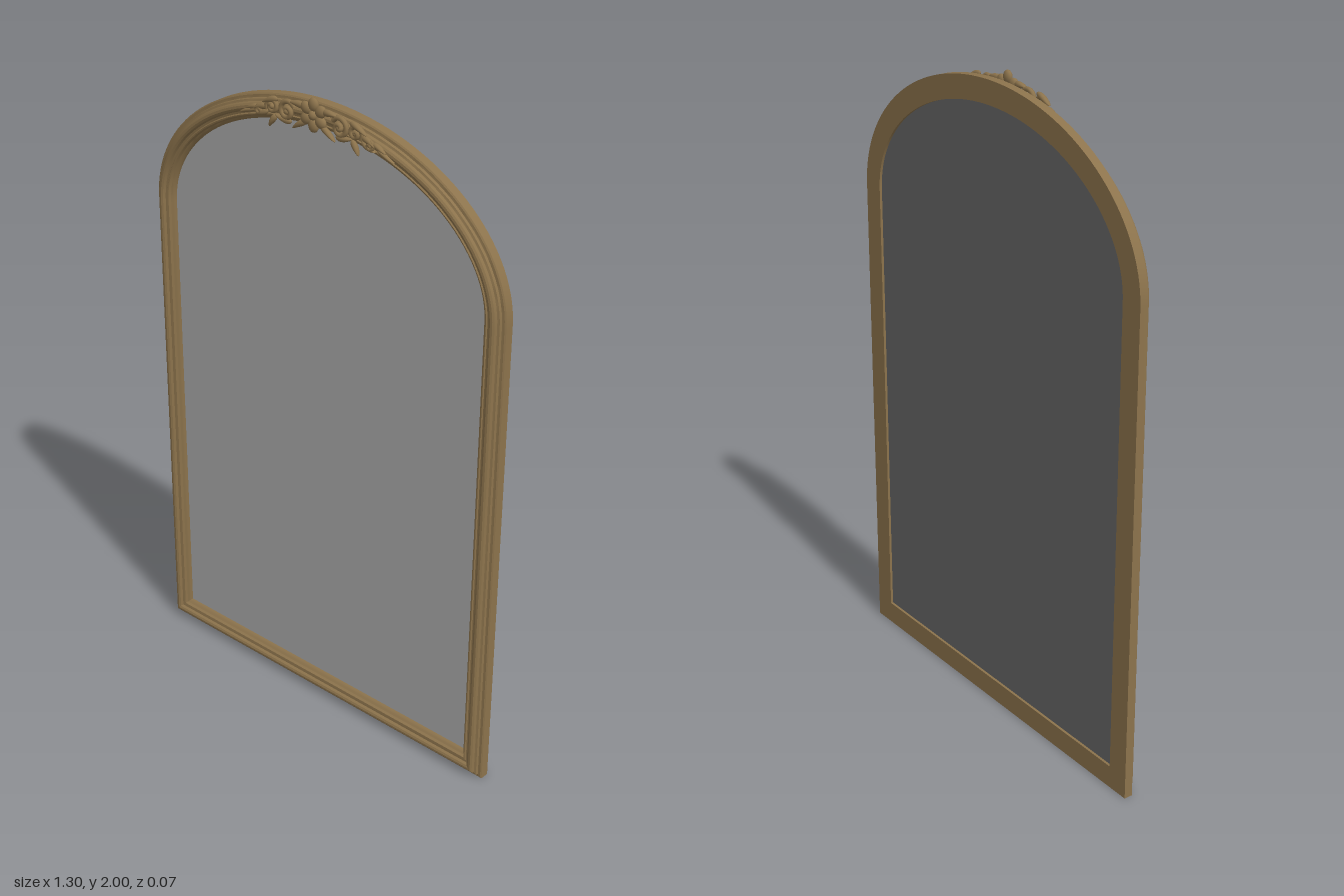
import * as THREE from 'three';
import { toCreasedNormals } from 'three/addons/utils/BufferGeometryUtils.js';

const W = 0.65, SPRING = 1.52, RISE = 0.458;

function material(name, color) {
  const m = new THREE.MeshStandardMaterial({ color });
  m.name = name;
  return m;
}

// Arched outline, anticlockwise, with an inward direction at every point
function outline() {
  const pts = [
    { x: -W, y: 0, nx: 1, ny: 1 },
    { x: W, y: 0, nx: -1, ny: 1 },
  ];
  const n = 64;
  for (let i = 0; i <= n; i++) {
    const a = (i / n) * Math.PI, c = Math.cos(a), s = Math.sin(a);
    const len = Math.hypot(c / W, s / RISE);
    pts.push({ x: W * c, y: SPRING + RISE * s, nx: -c / W / len, ny: -s / RISE / len });
  }
  return pts;
}

// Sweep a closed moulding profile of [inset, z] pairs round the outline
function mouldingGeometry(path, profile) {
  const pos = [];
  const at = (i, j) => {
    const p = path[i % path.length], [d, z] = profile[j % profile.length];
    return [p.x + p.nx * d, p.y + p.ny * d, z];
  };
  for (let i = 0; i < path.length; i++) {
    for (let j = 0; j < profile.length; j++) {
      const a = at(i, j), b = at(i + 1, j), c = at(i + 1, j + 1), d = at(i, j + 1);
      pos.push(...a, ...b, ...c, ...a, ...c, ...d);
    }
  }
  const g = new THREE.BufferGeometry();
  g.setAttribute('position', new THREE.Float32BufferAttribute(pos, 3));
  return toCreasedNormals(g, 0.45);
}

// Tapered, curling leaf growing from the origin along +x
function leafGeometry(length, width, depth, curl) {
  const g = new THREE.SphereGeometry(1, 14, 10);
  g.rotateZ(Math.PI / 2);
  const p = g.attributes.position;
  for (let i = 0; i < p.count; i++) {
    const t = (p.getX(i) + 1) / 2;
    const y = p.getY(i) * width * (1.15 - 0.75 * t);
    p.setXYZ(i, t * length, y + curl * t * t, p.getZ(i) * depth);
  }
  g.computeVertexNormals();
  return g;
}

export function createModel() {
  const model = new THREE.Group();
  model.name = 'archedMirror';
  const gold = material('antique gold', 0x8c734c);
  const silver = material('mirror silver', 0xa6a6a6);
  const grey = material('backing grey', 0x666666);

  const add = (parent, name, geometry, mat) => {
    const mesh = new THREE.Mesh(geometry, mat);
    mesh.name = name;
    parent.add(mesh);
    return mesh;
  };

  // Stepped frame moulding
  const path = outline();
  const profile = [
    [0, -0.036], [0, -0.009], [0.004, -0.006], [0.012, -0.005], [0.014, 0.002],
    [0.02, 0.005], [0.023, 0.012], [0.028, 0.016], [0.035, 0.017], [0.041, 0.014],
    [0.045, 0.007], [0.051, 0.006], [0.054, 0.009], [0.058, 0.008],
    [0.062, 0.001], [0.068, -0.003], [0.071, -0.008], [0.071, -0.036],
  ];
  add(model, 'frame', mouldingGeometry(path, profile), gold);

  // Mirror glass and backing board
  const pane = new THREE.Shape(path.map(p => new THREE.Vector2(p.x + p.nx * 0.07, p.y + p.ny * 0.07)));
  add(model, 'mirrorGlass', new THREE.ShapeGeometry(pane), silver).position.z = -0.014;
  const back = add(model, 'backingBoard', new THREE.ShapeGeometry(pane), grey);
  back.position.z = -0.028;
  back.rotation.y = Math.PI;

  // Carved crest
  const crest = new THREE.Group();
  crest.name = 'crest';
  model.add(crest);

  // Central rosette
  const cy = 1.95;
  for (let i = 0; i < 6; i++) {
    const a = Math.PI / 2 + (i * Math.PI) / 3;
    const petal = add(crest, 'petal', new THREE.SphereGeometry(1, 14, 10), gold);
    petal.scale.set(0.02, 0.017, 0.011);
    petal.position.set(Math.cos(a) * 0.03, cy + Math.sin(a) * 0.03, 0.02);
    petal.rotation.z = a;
  }
  const bud = add(crest, 'rosetteBud', new THREE.SphereGeometry(1, 16, 10), gold);
  bud.scale.set(0.014, 0.014, 0.012);
  bud.position.set(0, cy, 0.022);

  // Leaves: [x, y, length, width, angle, curl, z]
  const leaves = [
    [0.025, 1.925, 0.06, 0.011, -0.35, -0.012, 0.02],
    [0.03, 1.965, 0.055, 0.012, 0.25, -0.012, 0.02],
    [0.08, 1.91, 0.06, 0.011, -0.1, 0.014, 0.02],
    [0.135, 1.915, 0.045, 0.011, -0.7, -0.012, 0.021],
    [0.13, 1.962, 0.06, 0.011, -0.1, -0.016, 0.021],
    [0.17, 1.93, 0.055, 0.011, 0.05, -0.022, 0.019],
    [0.17, 1.92, 0.05, 0.01, -0.6, 0.01, 0.018],
    [0.205, 1.922, 0.05, 0.009, -0.1, -0.012, 0.017],
    [0.22, 1.91, 0.065, 0.008, -0.25, -0.008, 0.016],
  ];
  // Scrolls: [x, y, radius, start angle, turn direction, tube radius]
  const scrolls = [
    [0.095, 1.938, 0.03, 2.6, -1, 0.0075],
    [0.15, 1.938, 0.024, -0.6, 1, 0.007],
    [0.2, 1.915, 0.014, 2.4, -1, 0.005],
  ];
  for (const s of [1, -1]) {
    const side = s > 0 ? 'left' : 'right';
    for (const [x, y, len, wid, ang, curl, z] of leaves) {
      const leaf = add(crest, side + 'Leaf', leafGeometry(len, wid, 0.009, s * curl), gold);
      leaf.position.set(s * x, y, z);
      leaf.rotation.z = s > 0 ? ang : Math.PI - ang;
    }
    for (const [x, y, r, a0, dir, tube] of scrolls) {
      const pts = [];
      for (let i = 0; i <= 14; i++) {
        const a = a0 + dir * i * 0.6, rr = r * (1 - i / 18);
        pts.push(new THREE.Vector3(s * (x + rr * Math.cos(a)), y + rr * Math.sin(a), 0.019 + i * 0.0004));
      }
      add(crest, side + 'Scroll', new THREE.TubeGeometry(new THREE.CatmullRomCurve3(pts), 48, tube, 8), gold);
      const eye = add(crest, side + 'ScrollEye', new THREE.SphereGeometry(r * 0.35, 12, 8), gold);
      eye.position.set(s * x, y, 0.022);
    }
  }
  return model;
}
